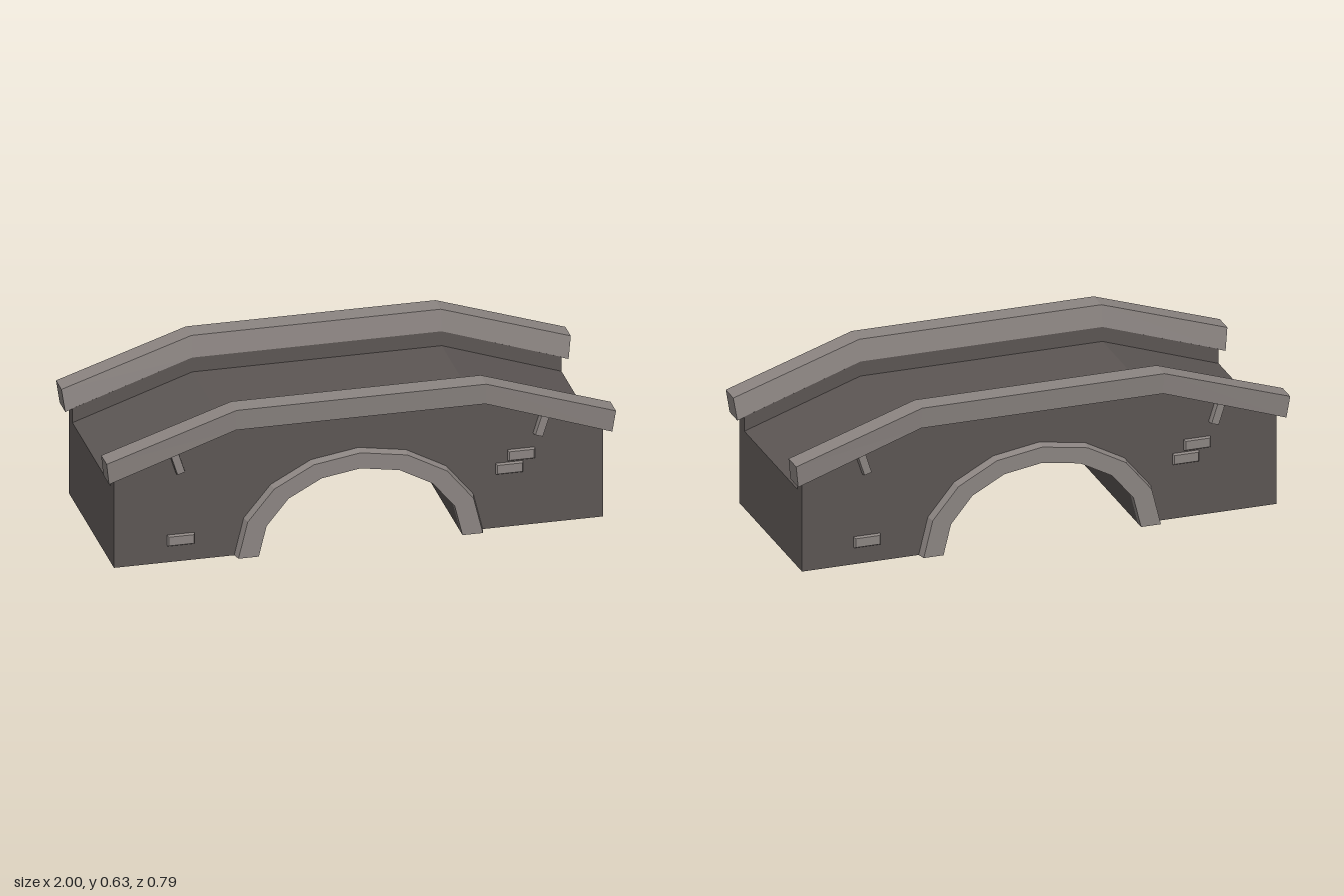
import * as THREE from 'three';

const dark = new THREE.MeshStandardMaterial({ color: 0x5c5654, flatShading: true });
const light = new THREE.MeshStandardMaterial({ color: 0x8c8582, flatShading: true });

const ARCH_X = 0.4, ARCH_Y = 0.325, STEPS = 8; // elliptical opening
const ROAD_Z = 0.297, WALL_Z = 0.35, RING_Z = 0.385;

function addMesh(parent, name, geometry, material) {
  const mesh = new THREE.Mesh(geometry, material);
  mesh.name = name;
  parent.add(mesh);
  return mesh;
}

// Solid through matching sections, each counter-clockwise seen from the far end
function loft(sections) {
  const pos = [];
  const n = sections[0].length;
  const tri = (a, b, c) => pos.push(...a, ...b, ...c);
  for (let i = 0; i + 1 < sections.length; i++) {
    const a = sections[i], b = sections[i + 1];
    for (let j = 0; j < n; j++) {
      const k = (j + 1) % n;
      tri(a[j], a[k], b[k]);
      tri(a[j], b[k], b[j]);
    }
  }
  const first = sections[0], last = sections[sections.length - 1];
  for (let j = 1; j + 1 < n; j++) {
    tri(first[0], first[j + 1], first[j]);
    tri(last[0], last[j], last[j + 1]);
  }
  const geometry = new THREE.BufferGeometry();
  geometry.setAttribute('position', new THREE.Float32BufferAttribute(pos, 3));
  geometry.computeVertexNormals();
  return geometry;
}

// Bridge outline with a humped top and an arched opening, extruded from z0 to z1
function archedSlab(topY, endY, z0, z1) {
  const shape = new THREE.Shape();
  shape.moveTo(-0.96, 0);
  for (let i = 0; i <= STEPS; i++) {
    const t = Math.PI * (1 - i / STEPS);
    shape.lineTo(ARCH_X * Math.cos(t), ARCH_Y * Math.sin(t));
  }
  shape.lineTo(0.96, 0);
  shape.lineTo(0.96, endY);
  shape.lineTo(0.49, topY);
  shape.lineTo(-0.49, topY);
  shape.lineTo(-0.96, endY);
  const geometry = new THREE.ExtrudeGeometry(shape, { depth: z1 - z0, bevelEnabled: false });
  return geometry.translate(0, 0, z0);
}

// Coping whose section leans slightly outward
function copingGeometry() {
  const stations = [[-0.988, -1, 0.368, 0.458], [-0.49, -0.49, 0.54, 0.627],
    [0.49, 0.49, 0.54, 0.627], [0.988, 1, 0.368, 0.458]];
  return loft(stations.map(([xb, xt, yb, yt]) => [
    [xb, yb, 0.385], [xb, yb, ROAD_Z], [xt, yt, 0.31], [xt, yt, 0.395],
  ]));
}

// Projecting arch ring with a bevelled outer edge
function ringGeometry() {
  const sections = [];
  for (let i = 0; i <= STEPS; i++) {
    const t = Math.PI * i / STEPS;
    const at = (rx, ry, z) => [rx * Math.cos(t), ry * Math.sin(t), z];
    sections.push([
      at(ARCH_X, ARCH_Y, WALL_Z), at(ARCH_X, ARCH_Y, RING_Z),
      at(0.48, 0.39, RING_Z), at(0.488, 0.397, WALL_Z),
    ]);
  }
  return loft(sections);
}

// Stone block standing out of the wall, tapered toward its face
function blockGeometry(w, h, depth, taper) {
  const rect = (x, y, z) => [[-x, -y, z], [x, -y, z], [x, y, z], [-x, y, z]];
  return loft([
    rect(w / 2, h / 2, -0.01),
    rect(w / 2, h / 2, depth * 0.55),
    rect(w / 2 - taper, h / 2 - taper, depth),
  ]);
}

function buildSide() {
  const side = new THREE.Group();
  addMesh(side, 'parapetWall', archedSlab(0.54, 0.38, ROAD_Z, WALL_Z), dark);
  addMesh(side, 'coping', copingGeometry(), light);
  addMesh(side, 'archRing', ringGeometry(), light);

  // Loose wall stones
  for (const [x, y] of [[-0.698, 0.092], [0.638, 0.3], [0.592, 0.248]]) {
    addMesh(side, 'wallStone', blockGeometry(0.106, 0.044, 0.013, 0.004), light)
      .position.set(x, y, WALL_Z);
  }

  // Slanted brackets under the coping
  for (const s of [-1, 1]) {
    const bracket = addMesh(side, 'bracket', blockGeometry(0.034, 0.1, 0.028, 0.002), light);
    bracket.position.set(s * 0.717, 0.425, WALL_Z);
    bracket.rotation.z = -s * 0.31;
  }
  return side;
}

export function createModel() {
  const model = new THREE.Group();
  model.name = 'stoneBridge';
  addMesh(model, 'roadway', archedSlab(0.48, 0.32, -ROAD_Z, ROAD_Z), dark);

  // The back is the front turned half round
  const front = buildSide();
  front.name = 'frontSide';
  const back = buildSide();
  back.name = 'backSide';
  back.rotation.y = Math.PI;
  model.add(front, back);
  return model;
}
